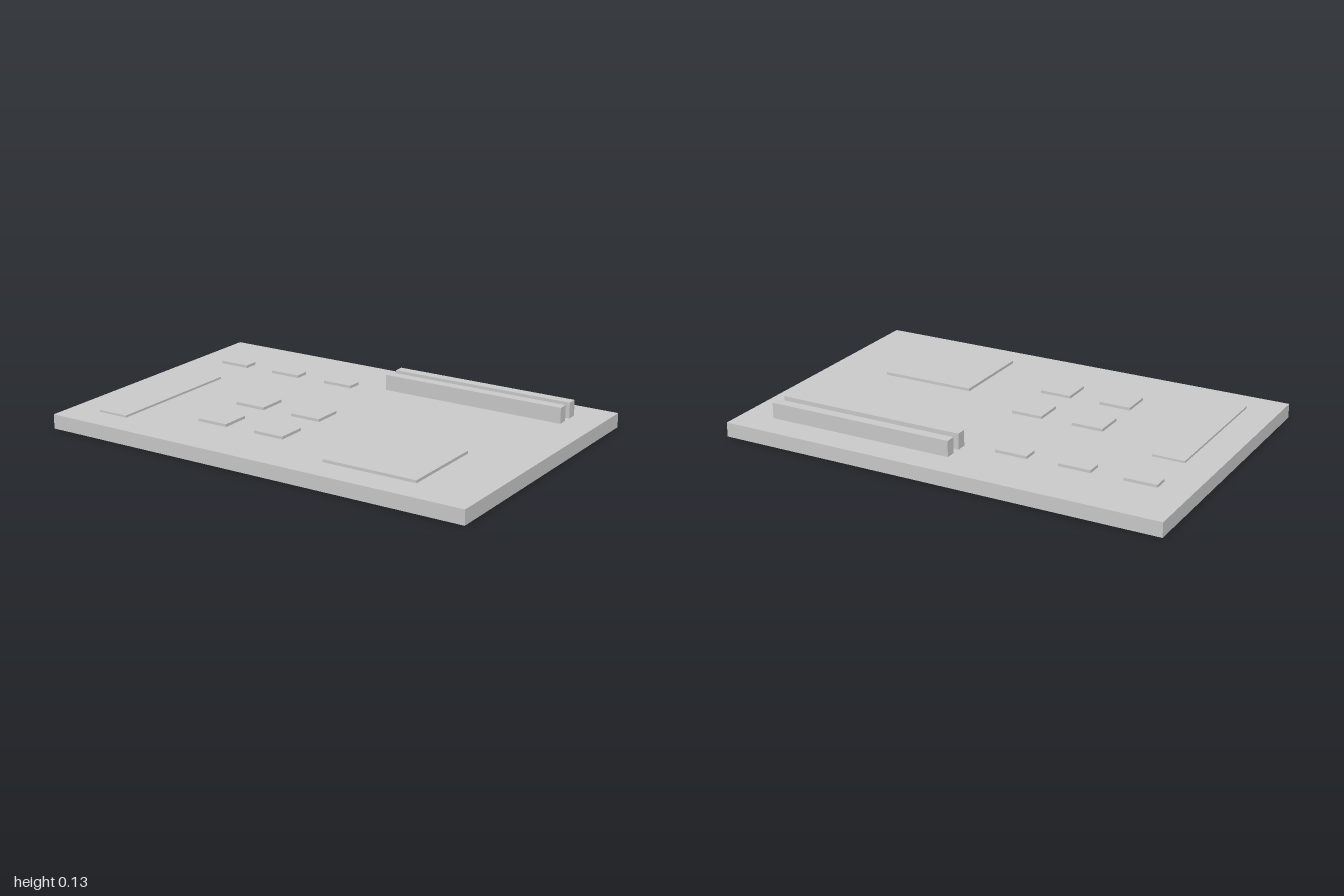
import * as THREE from 'three';

const BOARD_TOP = 0.064;

export function createModel() {
  const model = new THREE.Group();
  model.name = 'circuitBoard';
  const material = new THREE.MeshStandardMaterial({ color: 0xcccccc, flatShading: true });

  // Box given by its x, y and z ranges
  function addBox(name, [x0, x1], [y0, y1], [z0, z1]) {
    const mesh = new THREE.Mesh(new THREE.BoxGeometry(x1 - x0, y1 - y0, z1 - z0), material);
    mesh.position.set((x0 + x1) / 2, (y0 + y1) / 2, (z0 + z1) / 2);
    mesh.name = name;
    model.add(mesh);
  }
  // Component resting on the board
  const addPart = (name, xRange, zRange, top) => addBox(name, xRange, [BOARD_TOP, top], zRange);

  addBox('board', [-1, 1], [0, BOARD_TOP], [-0.667, 0.667]);

  // Two tall parallel slots near the back
  for (const z of [-0.51, -0.425]) {
    addPart('slot', [0, 0.857], [z - 0.023, z + 0.023], 0.134);
  }

  // Row of small chips along the back
  for (const x of [-0.857, -0.571, -0.286]) {
    addPart('smallChip', [x, x + 0.143], [-0.4, -0.333], 0.0765);
  }

  // Two by two block of square chips
  for (const x of [-0.429, -0.143]) {
    for (const z of [0, 0.267]) {
      addPart('squareChip', [x, x + 0.143], [z, z + 0.133], 0.0765);
    }
  }

  // Large processor and long side connector
  addPart('processor', [0.286, 0.714], [0.133, 0.533], 0.0765);
  addPart('sideConnector', [-0.857, -0.714], [-0.133, 0.533], 0.073);

  return model;
}
